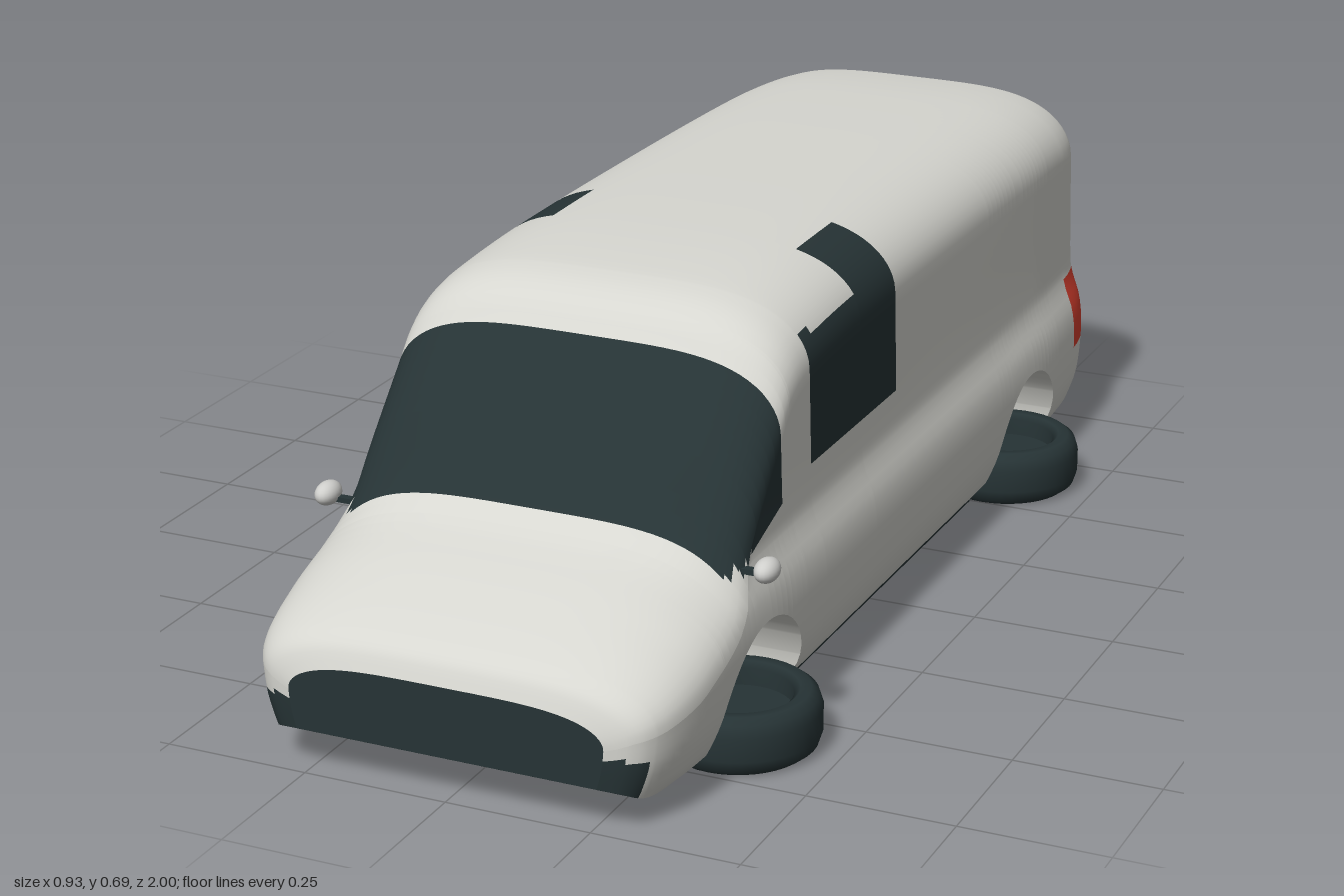
import * as THREE from 'three';

const mat = (name, color) => {
  const m = new THREE.MeshStandardMaterial({ color, side: THREE.DoubleSide });
  m.name = name;
  return m;
};

// Smooth interpolation through [position, value] points
function curve(pts) {
  const n = pts.length;
  const slope = i => {
    const a = pts[Math.max(i - 1, 0)], b = pts[Math.min(i + 1, n - 1)];
    return (b[1] - a[1]) / (b[0] - a[0]);
  };
  return t => {
    if (t <= pts[0][0]) return pts[0][1];
    if (t >= pts[n - 1][0]) return pts[n - 1][1];
    let i = 0;
    while (t > pts[i + 1][0]) i++;
    const h = pts[i + 1][0] - pts[i][0], s = (t - pts[i][0]) / h;
    const s2 = s * s, s3 = s2 * s;
    return (2 * s3 - 3 * s2 + 1) * pts[i][1] + (s3 - 2 * s2 + s) * h * slope(i)
      + (3 * s2 - 2 * s3) * pts[i + 1][1] + (s3 - s2) * h * slope(i + 1);
  };
}

// Body curves: roof and bottom height and width factor along z, half width along y
const roof = curve([[-1, .635], [-.985, .655], [-.955, .667], [-.77, .682], [-.29, .691], [.14, .691],
  [.355, .68], [.425, .665], [.465, .64], [.495, .605], [.6, .487], [.66, .41], [.69, .376], [.73, .348],
  [.84, .306], [.945, .258], [.985, .228], [1, .195]]);
const bottom = curve([[-1, .06], [-.95, .046], [-.8, .038], [-.5, .04], [.5, .04], [.85, .036], [.95, .05], [1, .075]]);
const width = curve([[-1, .88], [-.985, .92], [-.95, .95], [-.9, .97], [-.7, .995], [0, 1], [.7, 1],
  [.85, .985], [.93, .945], [.97, .89], [.99, .82], [1, .73]]);
const side = curve([[.03, .32], [.05, .345], [.08, .36], [.12, .372], [.2, .378], [.26, .372], [.31, .354],
  [.34, .349], [.6, .341], [.7, .335]]);

const AXLE = .62, ARCH = .165;

// Lower edge of the body, rising over the wheel arches
function lowEdge(z) {
  const d = Math.abs(z) - AXLE, b = bottom(z);
  return Math.abs(d) < ARCH ? Math.max(b, .055 + Math.sqrt(ARCH * ARCH - d * d)) : b;
}

// Lower edge of the glass
function glassLine(z) {
  if (z > .495) return .37 - (z - .495) * .31;
  if (z > .38) return .395 - (z - .38) * .217;
  return .395;
}

// Half outline from the lower edge to the roof centre, then mirrored
function section(z) {
  const top = roof(z), low = lowEdge(z), w = width(z);
  const ry = Math.min(.12, .45 * (top - bottom(z))), shoulder = Math.max(top - ry, low);
  const knots = [low, .185, .32, glassLine(z), shoulder].map(k => Math.min(Math.max(k, low), shoulder));
  const half = [];
  for (let k = 0; k < 4; k++)
    for (let s = 0; s < 8; s++) {
      const y = knots[k] + (knots[k + 1] - knots[k]) * s / 8;
      half.push([side(y) * w, y]);
    }
  for (let s = 0; s <= 24; s++) {
    const t = Math.PI / 2 * (1 - (1 - s / 24) ** 2);
    const y = shoulder + (top - shoulder) * Math.sin(t);
    half.push([side(y) * w * Math.sqrt(Math.max(Math.cos(t), 0)), y]);
  }
  half[half.length - 1][0] = 0;
  return [...half.map(([x, y]) => [-x, y]), ...half.slice(0, -1).reverse()];
}

// Paint regions: 0 body, 1 dark, 2 red
function paint(x, y, z) {
  if (z > .495 && z < .69 && y > glassLine(z)) return 1;
  if (z > 0 && z < .375 && y > .395 && (y < .61 || (z < .155 && x > .225))) return 1;
  if (z < -.89 && y > .185 && y < .32) return 2;
  if (z > .965 && y < (x < .27 ? .19 - .4 * x * x : .125)) return 1;
  return 0;
}

// Surface over a grid of points, with a material for each cell
function gridGeometry(rows, materialAt, flip) {
  const n = rows[0].length, lists = [[], [], []];
  for (let i = 0; i < rows.length - 1; i++)
    for (let j = 0; j < n - 1; j++) {
      const a = i * n + j, b = a + 1, c = a + n, d = c + 1;
      const q = [rows[i][j], rows[i][j + 1], rows[i + 1][j], rows[i + 1][j + 1]];
      const mid = k => q.reduce((s, p) => s + p[k], 0) / 4;
      lists[materialAt(Math.abs(mid(0)), mid(1), mid(2))].push(...(flip ? [a, b, c, b, d, c] : [a, c, b, b, c, d]));
    }
  const g = new THREE.BufferGeometry();
  g.setAttribute('position', new THREE.Float32BufferAttribute(rows.flat(2), 3));
  g.setIndex(lists.flat());
  let start = 0;
  lists.forEach((l, m) => { if (l.length) g.addGroup(start, l.length, m); start += l.length; });
  g.computeVertexNormals();
  return g;
}

export function createModel() {
  const van = new THREE.Group();
  van.name = 'van';
  const white = mat('bodyPaint', 0xd6d6d0), dark = mat('darkTrim', 0x263335);
  const red = mat('lampRed', 0xd9402f), metal = mat('brightMetal', 0xcfcfcc);
  const add = (parent, name, geo, m, x = 0, y = 0, z = 0) => {
    const mesh = new THREE.Mesh(geo, m);
    mesh.name = name;
    mesh.position.set(x, y, z);
    parent.add(mesh);
    return mesh;
  };

  // Stations along the body, denser at the nose, tail and arches
  const stations = [.155, .375, .495, .69, .965, -.89];
  for (let i = -50; i <= 50; i++) stations.push(i / 50);
  for (let i = 1; i < 10; i++) stations.push(1 - i * .005, -1 + i * .005);
  for (const s of [-1, 1])
    for (let i = 0; i <= 24; i++) stations.push(s * AXLE + ARCH * Math.cos(Math.PI * i / 24));
  stations.sort((a, b) => a - b);
  const zs = stations.filter((z, i) => i === 0 || z - stations[i - 1] > 1e-5);

  // Body shell with painted windows, lamps and grille
  const shell = zs.map(z => section(z).map(([x, y]) => [x, y, z]));
  add(van, 'bodyShell', gridGeometry(shell, paint, false), [white, dark, red]);

  // Floor, rising into the wheel arches
  const floor = zs.map(z => {
    const y = lowEdge(z), w = side(y) * width(z);
    return [-1, -.5, 0, .5, 1].map(k => [k * w, y, z]);
  });
  const inArch = z => Math.abs(Math.abs(z) - AXLE) < ARCH;
  add(van, 'floor', gridGeometry(floor, (x, y, z) => inArch(z) ? 0 : 1, true), [white, dark, red]);

  // End panels
  for (const [name, z, m] of [['rearPanel', -1, white], ['grillePanel', 1, dark]]) {
    const shape = new THREE.Shape(section(z).map(([x, y]) => new THREE.Vector2(x, y)));
    const panel = add(van, name, new THREE.ShapeGeometry(shape), m, 0, 0, z);
    if (z < 0) panel.rotation.y = Math.PI;
  }

  // Underbody
  add(van, 'underbody', new THREE.BoxGeometry(.64, .032, .91), dark, 0, .034, 0);
  for (const s of [-1, 1])
    add(van, 'axleHousing', new THREE.BoxGeometry(.4, .1, .33), dark, 0, .07, s * AXLE);

  // Wheels lie flat, with the spoked face down on the left and up on the right
  const tyreProfile = [[.09, -.04], [.1, -.049], [.118, -.05], [.131, -.04], [.1375, -.02], [.1375, .02],
    [.131, .04], [.118, .05], [.1, .049], [.09, .04], [.09, -.04]].map(p => new THREE.Vector2(...p));
  const tyreGeo = new THREE.LatheGeometry(tyreProfile, 40);
  const rimGeo = new THREE.TorusGeometry(.088, .006, 8, 40).rotateX(Math.PI / 2);
  const discGeo = new THREE.CylinderGeometry(.09, .09, .02, 32);
  const hubGeo = new THREE.CylinderGeometry(.02, .02, .014, 20);
  const spokeGeo = new THREE.BoxGeometry(.075, .01, .014).translate(.05, 0, 0);
  for (const sx of [-1, 1])
    for (const sz of [-1, 1]) {
      const wheel = new THREE.Group();
      wheel.name = (sz > 0 ? 'front' : 'rear') + (sx > 0 ? 'Left' : 'Right') + 'Wheel';
      add(wheel, 'tyre', tyreGeo, dark);
      add(wheel, 'wheelDisc', discGeo, dark);
      add(wheel, 'rim', rimGeo, metal, 0, -.038, 0);
      add(wheel, 'hub', hubGeo, metal, 0, -.034, 0);
      for (let i = 0; i < 6; i++)
        add(wheel, 'spoke', spokeGeo, metal, 0, -.034, 0).rotation.y = i * Math.PI / 3;
      wheel.position.set(sx * .327, .05, sz * AXLE);
      if (sx < 0) wheel.rotation.z = Math.PI;
      van.add(wheel);
    }

  // Mirrors and exhaust pipes
  for (const s of [-1, 1]) {
    add(van, 'mirrorArm', new THREE.BoxGeometry(.06, .009, .014), dark, s * .355, .316, .65);
    add(van, 'mirror', new THREE.SphereGeometry(.02, 20, 14), metal, s * .392, .325, .655).scale.set(1, 1, 1.5);
    add(van, 'exhaustPipe', new THREE.CylinderGeometry(.016, .016, .07, 16).rotateX(Math.PI / 2), metal, s * .147, .042, -.955);
  }
  return van;
}
